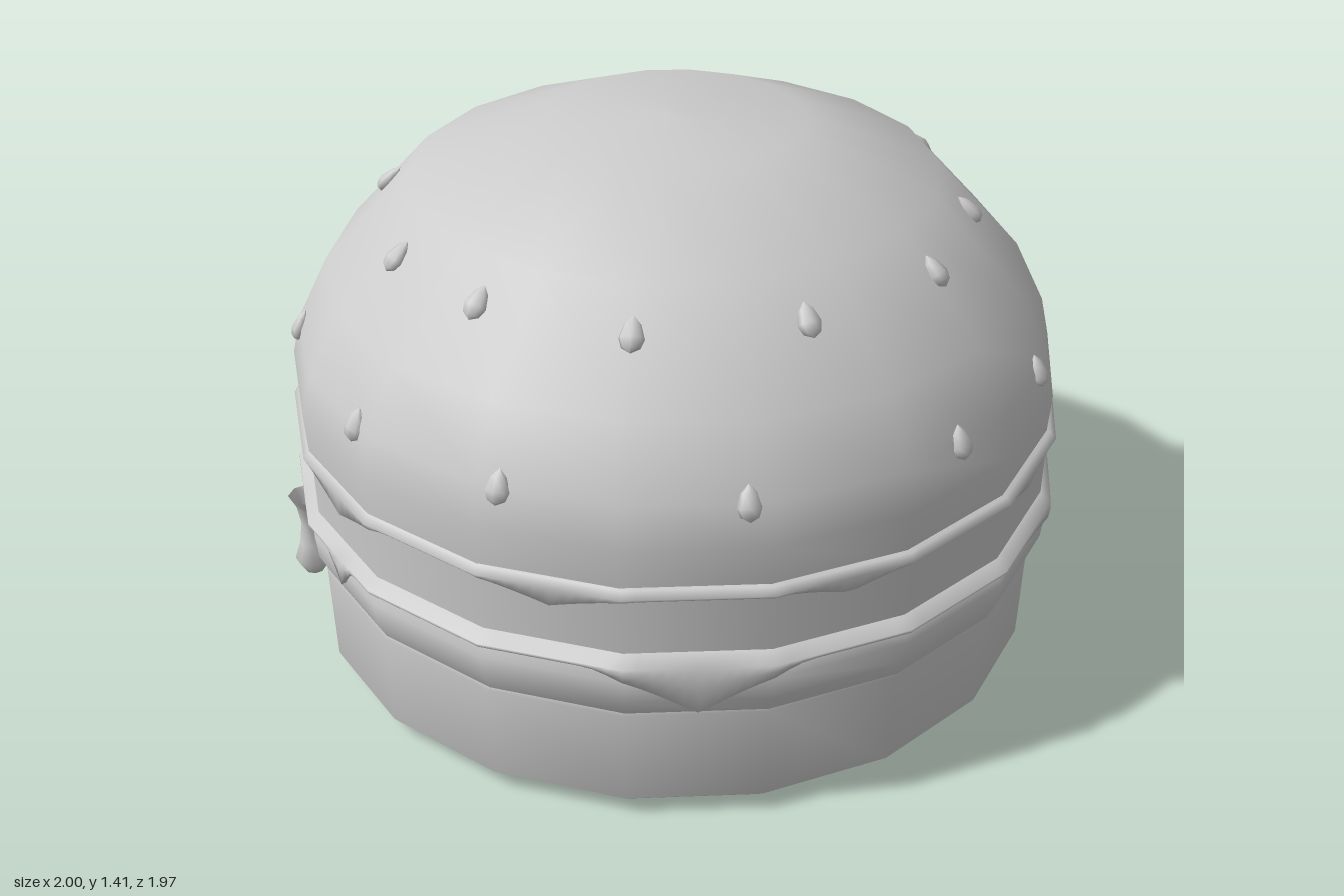
import * as THREE from 'three';

const SIDES = 18;
const DEG = Math.PI / 180;
const STEP = 360 / SIDES;
const grey = new THREE.MeshStandardMaterial({ color: 0xcccccc });
const greyThin = new THREE.MeshStandardMaterial({ color: 0xcccccc, side: THREE.DoubleSide });

// Lathe from [radius, y] pairs; a doubled point makes a sharp edge
function lathe(points, sides = SIDES, phase = 10) {
  return new THREE.LatheGeometry(points.map(([r, y]) => new THREE.Vector2(r, y)), sides, phase * DEG);
}

function addMesh(parent, name, geometry, material = grey) {
  const mesh = new THREE.Mesh(geometry, material);
  mesh.name = name;
  parent.add(mesh);
  return mesh;
}

// Ratio of the polygon's radius to its corner radius at an angle in degrees from +z
function facet(deg) {
  const offset = (((deg - 10) % STEP) + STEP) % STEP - STEP / 2;
  return Math.cos(STEP / 2 * DEG) / Math.cos(offset * DEG);
}

// Lower edge: base height pulled down by drips [angle, tip y, half width, sharpness]
function edgeHeight(deg, base, drips) {
  let y = base;
  for (const [angle, tip, half, power] of drips) {
    const d = Math.abs(((deg - angle + 540) % 360) - 180);
    if (d < half) y = Math.min(y, base - (base - tip) * Math.pow(1 - d / half, power));
  }
  return y;
}

// Closed band around the y axis; section(deg) gives its [radius, y] pairs from top to bottom
function band(section, segments = 180) {
  const positions = [], index = [];
  let count = 0;
  for (let i = 0; i < segments; i++) {
    const deg = i * 360 / segments;
    const points = section(deg);
    count = points.length;
    for (const [r, y] of points) {
      const radius = r * facet(deg);
      positions.push(Math.sin(deg * DEG) * radius, y, Math.cos(deg * DEG) * radius);
    }
  }
  for (let i = 0; i < segments; i++) {
    for (let j = 0; j < count - 1; j++) {
      const a = i * count + j, b = ((i + 1) % segments) * count + j;
      index.push(a, a + 1, b, b, a + 1, b + 1);
    }
  }
  const geometry = new THREE.BufferGeometry();
  geometry.setAttribute('position', new THREE.Float32BufferAttribute(positions, 3));
  geometry.setIndex(index);
  geometry.computeVertexNormals();
  return geometry;
}

export function createModel() {
  const burger = new THREE.Group();
  burger.name = 'burger';

  // Buns and fillings
  addMesh(burger, 'bottomBun', lathe([
    [0, 0], [0.89, 0], [0.89, 0], [0.947, 0.05], [0.955, 0.3], [0.935, 0.318], [0.935, 0.318], [0, 0.318],
  ])).position.x = -0.008;
  addMesh(burger, 'patty', lathe([
    [0, 0.312], [0.955, 0.312], [0.955, 0.312], [0.978, 0.36], [0.985, 0.42], [0.96, 0.475], [0, 0.48],
  ]));
  addMesh(burger, 'tomatoLayer', lathe([
    [0, 0.47], [0.968, 0.47], [0.968, 0.47], [0.972, 0.655], [0.972, 0.655], [0, 0.655],
  ]));
  const topBun = new THREE.Group();
  topBun.name = 'topBun';
  topBun.position.x = -0.006;
  burger.add(topBun);
  addMesh(topBun, 'topBunCrust', lathe([
    [0, 0.645], [0.972, 0.645], [0.972, 0.645], [0.98, 0.77], [0.957, 0.87], [0.878, 1.03],
    [0.66, 1.265], [0.33, 1.395], [0, 1.407],
  ]));

  // Melted cheese over the patty
  const cheeseDrips = [
    [40, 0.335, 15, 1.4], [119.5, 0.215, 8, 1.1], [119.5, 0.39, 26, 1.3], [175, 0.34, 18, 1.4],
    [270, 0.225, 8, 1.1], [270, 0.39, 24, 1.3], [340, 0.38, 5, 1.4], [321.5, 0.4, 5, 1.5],
  ];
  addMesh(burger, 'cheese', band((deg) => {
    const low = edgeHeight(deg, 0.455, cheeseDrips);
    const lowRadius = low > 0.36 ? 0.994 : 0.994 - (0.36 - low) * 0.17;
    return [
      [0.93, 0.497], [0.968, 0.492], [0.997, 0.465], [0.998, 0.46 + (low - 0.455) * 0.45],
      [lowRadius, low], [lowRadius - 0.03, low + 0.004],
    ];
  }), greyThin);

  // Hanging cheese drop
  const drop = addMesh(burger, 'cheeseDrop', lathe([
    [0, 0.215], [0.025, 0.228], [0.048, 0.265], [0.032, 0.315], [0.024, 0.37], [0.032, 0.42], [0.05, 0.455],
  ], 8, 0), greyThin);
  drop.position.set(-0.61, 0, 0.76);

  // Thin sauce layer under the top bun
  const sauceDrips = [
    [20, 0.598, 11, 1.3], [61, 0.605, 9, 1.3], [100, 0.6, 11, 1.3], [140, 0.61, 10, 1.3], [185, 0.605, 11, 1.3],
    [225, 0.59, 13, 1.3], [262, 0.605, 10, 1.3], [300, 0.605, 10, 1.3], [340, 0.58, 13, 1.3],
  ];
  addMesh(burger, 'sauce', band((deg) => {
    const low = edgeHeight(deg, 0.64, sauceDrips);
    return [[0.955, 0.675], [0.978, 0.668], [0.993, 0.652], [0.982, low], [0.955, low + 0.004]];
  }), greyThin);

  // Sesame seeds in two rows: angles in degrees from the front
  const seed = lathe([[0, -0.042], [0.022, -0.03], [0.03, -0.008], [0.019, 0.025], [0, 0.045]], 7, 0);
  seed.scale(1, 1, 0.7);
  const rows = [
    { y: 1.18, r: 0.745, tilt: 43, angles: [0, 30, 61, 92, 121, 155, 188, 225.5, 260, 298, 335] },
    { y: 0.87, r: 0.957, tilt: 20, angles: [13, 47, 81, 106, 138, 168, 205, 240, 282, 313, 346] },
  ];
  for (const { y, r, tilt, angles } of rows) {
    for (const deg of angles) {
      const pivot = new THREE.Group();
      pivot.name = 'seedPivot';
      pivot.rotation.y = deg * DEG;
      topBun.add(pivot);
      const mesh = addMesh(pivot, 'sesameSeed', seed);
      mesh.position.set(0, y, r * facet(deg));
      mesh.rotation.x = -tilt * DEG;
    }
  }
  return burger;
}
